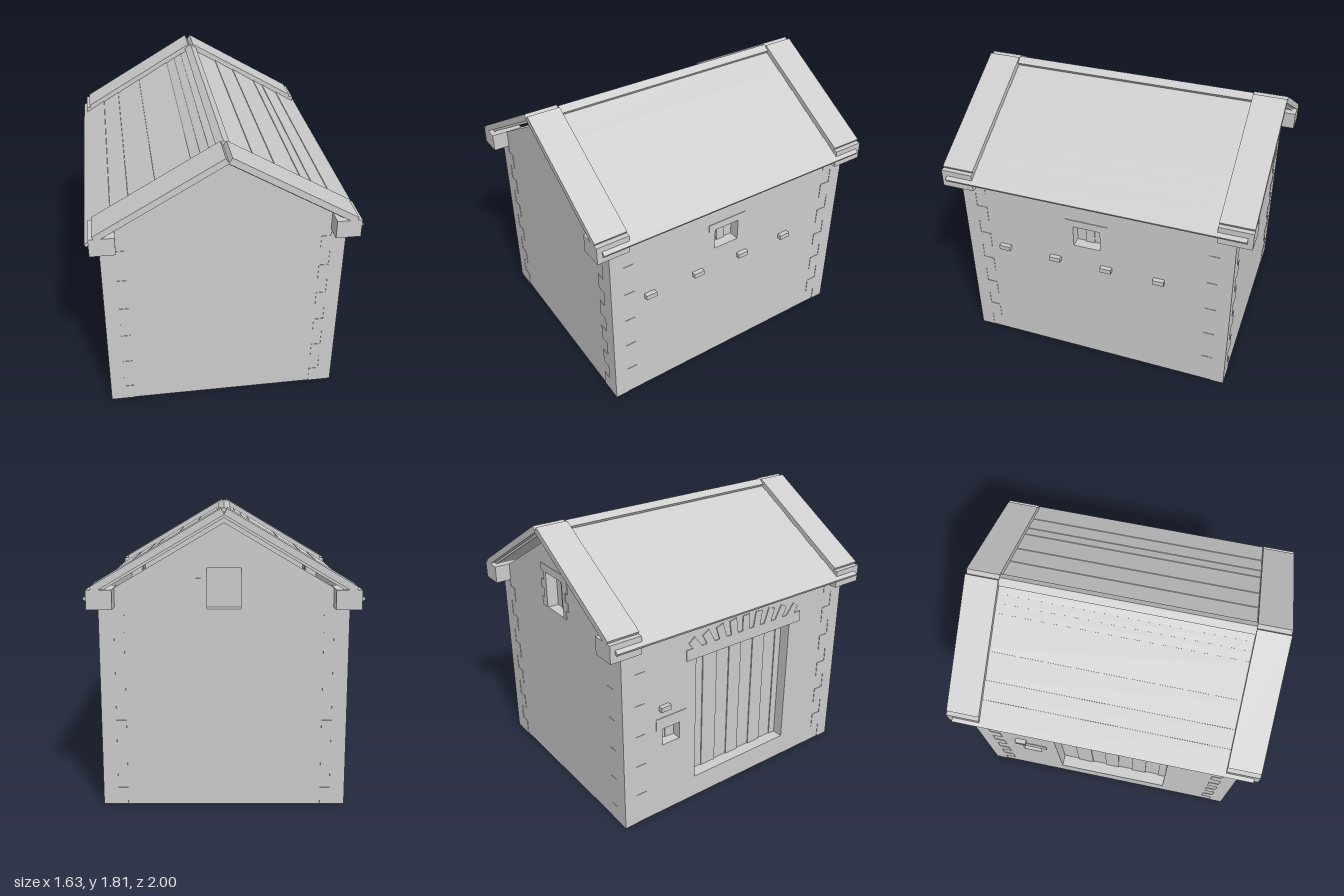
import * as THREE from 'three';

const stone = new THREE.MeshStandardMaterial({ color: 0xcccccc, side: THREE.DoubleSide });
stone.name = 'plain grey';

const HX = 0.735, HZ = 0.897, EAVE = 1.29, PEAK = 1.722, SLOPE = 0.59;

function add(parent, name, geometry) {
  const mesh = new THREE.Mesh(geometry, stone);
  mesh.name = name;
  parent.add(mesh);
  return mesh;
}

// Box given by its lower and upper limits on each axis
function block(parent, name, x0, x1, y0, y1, z0, z1) {
  const mesh = add(parent, name, new THREE.BoxGeometry(x1 - x0, y1 - y0, z1 - z0));
  mesh.position.set((x0 + x1) / 2, (y0 + y1) / 2, (z0 + z1) / 2);
  return mesh;
}

// Outline in x and y, drawn out along z
function prism(parent, name, points, z0, z1) {
  const shape = new THREE.Shape(points.map(([x, y]) => new THREE.Vector2(x, y)));
  const geometry = new THREE.ExtrudeGeometry(shape, { depth: z1 - z0, bevelEnabled: false });
  geometry.translate(0, 0, z0);
  return add(parent, name, geometry);
}

// Sheet wall in its own frame: u sideways, y up, +z outwards; holes are [u0, u1, y0, y1]
function wall(parent, name, outline, holes, angle, distance) {
  const group = new THREE.Group();
  group.name = name;
  const shape = new THREE.Shape(outline.map(([u, v]) => new THREE.Vector2(u, v)));
  for (const [a, b, c, d] of holes) {
    shape.holes.push(new THREE.Path([[a, c], [a, d], [b, d], [b, c]].map(([u, v]) => new THREE.Vector2(u, v))));
  }
  add(group, 'wallSheet', new THREE.ShapeGeometry(shape));
  group.rotation.y = angle;
  group.position.set(Math.sin(angle) * distance, 0, Math.cos(angle) * distance);
  parent.add(group);
  return group;
}

// Recess lined on four sides and closed by upright boards
function recess(group, name, [a, b, c, d], depth, edges) {
  const t = 0.008;
  block(group, name + 'Jamb', a - t, a, c, d, -depth, 0);
  block(group, name + 'Jamb', b, b + t, c, d, -depth, 0);
  block(group, name + 'Sill', a - t, b + t, c - t, c, -depth, 0);
  block(group, name + 'Head', a - t, b + t, d, d + t, -depth, 0);
  for (let i = 0; i < edges.length - 1; i++) {
    const back = -depth + (i % 2) * 0.007;
    block(group, name + 'Board', edges[i], edges[i + 1], c, d, back - 0.012, back);
  }
}

function peg(group, u) {
  block(group, 'peg', u - 0.037, u + 0.037, 0.768, 0.8, -0.01, 0.03);
}

// Sloping board from x0 to x1 on one roof side, square to the slope at its ends
function roofBoard(parent, name, side, x0, x1, top, thick, lift, z0, z1) {
  const len = Math.hypot(1, SLOPE), nx = SLOPE / len * thick, ny = thick / len;
  const ya = top - SLOPE * x0, yb = top - SLOPE * x1;
  const points = [[x0, ya + lift], [x1, yb], [x1 - nx, yb - ny], [x0 - nx, ya - ny]];
  prism(parent, name, points.map(([x, y]) => [x * side, y]), z0, z1);
}

export function createModel() {
  const model = new THREE.Group();
  model.name = 'stoneBarn';

  // Walls
  const gable = [[-HX, 0], [HX, 0], [HX, EAVE], [0, PEAK], [-HX, EAVE]];
  const flat = [[-HZ, 0], [HZ, 0], [HZ, EAVE], [-HZ, EAVE]];
  const backHole = [-0.1, 0.1, 1.22, 1.46];
  const rightHole = [-0.14, 0.04, 0.92, 1.07];
  const door = [-0.354, 0.43, 0.155, 1.04];
  const hatch = [-0.61, -0.48, 0.51, 0.63];
  wall(model, 'frontWall', gable, [], 0, HZ);
  const back = wall(model, 'backWall', gable, [backHole], Math.PI, HZ);
  const plusSide = wall(model, 'leftWall', flat, [rightHole], Math.PI / 2, HX);
  const minusSide = wall(model, 'rightWall', flat, [door, hatch], -Math.PI / 2, HX);

  // Gable window with alternating surround stones
  recess(back, 'gableWindow', backHole, 0.07, [-0.1, -0.035, 0.035, 0.1]);
  block(back, 'windowLintel', -0.16, 0.16, 1.46, 1.51, -0.03, 0.004);
  for (let i = 0; i < 4; i++) {
    const w = i % 2 ? 0.065 : 0.035, y = 1.22 + i * 0.06;
    block(back, 'windowStone', 0.1, 0.1 + w, y, y + 0.06, -0.03, 0.004);
    block(back, 'windowStone', -0.2 + 0.1 - (0.1 - w), -0.1, y, y + 0.06, -0.03, 0.004);
  }

  // Side window and row of pegs
  recess(plusSide, 'sideWindow', rightHole, 0.07, [-0.14, -0.08, -0.02, 0.04]);
  block(plusSide, 'sideLintel', -0.19, 0.09, 1.07, 1.12, -0.03, 0.004);
  [-0.63, -0.272, 0.08, 0.433].forEach((u) => peg(plusSide, u));

  // Boarded door, its lintel and the fan of stones above
  recess(minusSide, 'door', door, 0.08, [-0.354, -0.24, -0.127, -0.025, 0.075, 0.177, 0.28, 0.38, 0.43]);
  block(minusSide, 'doorLintel', -0.43, 0.52, 1.04, 1.115, -0.03, 0.006);
  for (let i = 0; i < 9; i++) {
    const k = (i - 4) / 4;
    const wedge = add(minusSide, 'archStone', new THREE.BoxGeometry(0.055, 0.11, 0.036));
    wedge.position.set(0.04 + k * 0.4, 1.165 - 0.035 * k * k, -0.012);
    wedge.rotation.z = -k * 0.65;
  }

  // Small hatch and single peg
  recess(minusSide, 'hatch', hatch, 0.07, [-0.61, -0.545, -0.48]);
  block(minusSide, 'hatchLintel', -0.66, -0.43, 0.63, 0.71, -0.03, 0.004);
  peg(minusSide, -0.6);

  // Corner stones, alternately long one way and the other
  const rows = 12, step = EAVE / rows;
  for (const sx of [-1, 1]) for (const sz of [-1, 1]) {
    for (let i = 0; i < rows; i++) {
      const w = i % 2 ? 0.09 : 0.15, d = i % 2 ? 0.16 : 0.09;
      const corner = add(model, 'cornerStone', new THREE.BoxGeometry(w, step, d));
      corner.position.set(sx * (HX + 0.003 - w / 2), (i + 0.5) * step, sz * (HZ + 0.003 - d / 2));
    }
  }

  // Roof boards, verge slabs, eave blocks and ridge cap
  const seams = {
    1: [0, 0.185, 0.32, 0.48, 0.55, 0.66, 0.816],
    [-1]: [0, 0.075, 0.125, 0.18, 0.39, 0.55, 0.66, 0.816],
  };
  for (const side of [-1, 1]) {
    const e = seams[side];
    for (let i = 0; i < e.length - 1; i++) {
      roofBoard(model, 'roofBoard', side, e[i], e[i + 1], 1.775, 0.02, i ? 0.006 : 0, -0.967, 0.967);
    }
    for (const [z0, z1] of [[-1, -0.79], [0.79, 1]]) {
      roofBoard(model, 'vergeSlab', side, 0.018, 0.77, 1.816, 0.04, 0, z0, z1);
      const x0 = side > 0 ? 0.642 : -0.792;
      block(model, 'eaveBlock', x0, x0 + 0.15, 1.23, 1.345, z0, z1);
    }
    const cap = [[0, 1.806], [0.042, 1.774], [0.03, 1.755], [0, 1.77]];
    prism(model, 'ridgeCap', cap.map(([x, y]) => [x * side, y]), -0.79, 0.79);
  }
  return model;
}
